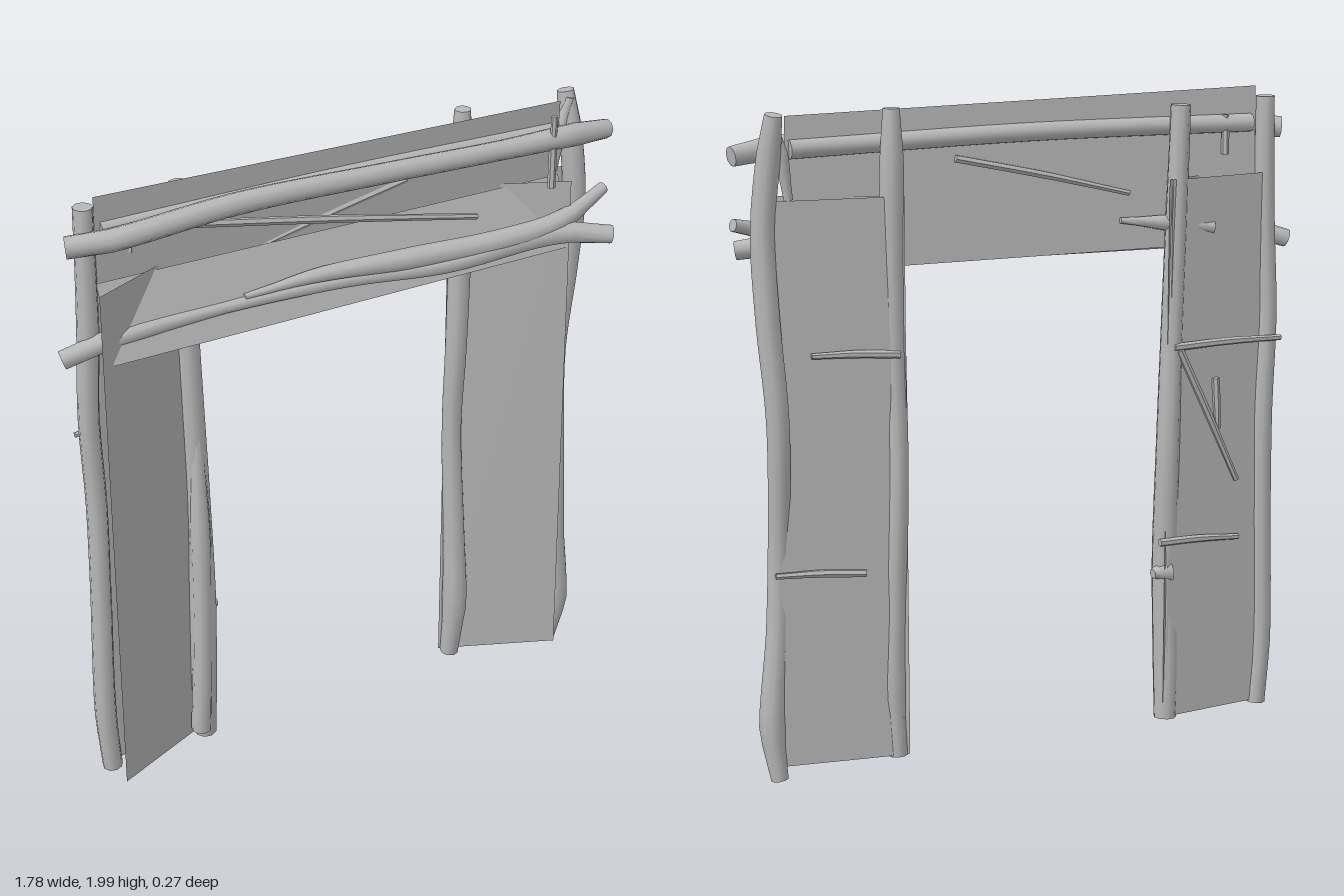
import * as THREE from 'three';
import { mergeVertices, toCreasedNormals } from 'three/addons/utils/BufferGeometryUtils.js';

const grey = new THREE.MeshStandardMaterial({ color: 0xb8b8b8, side: THREE.DoubleSide });
grey.name = 'plain grey';

// Rough log along points [x, y, z, radius], with closed ends
function log(name, pts, sides = 9) {
  const curve = new THREE.CatmullRomCurve3(pts.map(p => new THREE.Vector3(p[0], p[1], p[2])));
  const n = pts.length * 4;
  const tube = new THREE.TubeGeometry(curve, n, 1, sides, false);
  const pos = tube.attributes.position;
  const c = new THREE.Vector3(), v = new THREE.Vector3();
  for (let i = 0; i <= n; i++) {
    const u = i / n;
    const k = curve.getUtoTmapping(u) * (pts.length - 1);
    const a = Math.min(Math.floor(k), pts.length - 2);
    const r = THREE.MathUtils.lerp(pts[a][3], pts[a + 1][3], k - a);
    const centre = curve.getPointAt(u);
    // the second and second-last rings move to the ends and form the caps
    const cu = i === 1 ? 0 : i === n - 1 ? 1 : u;
    const rr = i === 0 || i === n ? 0 : r;
    curve.getPointAt(cu, c);
    for (let j = 0; j <= sides; j++) {
      const q = i * (sides + 1) + j;
      v.fromBufferAttribute(pos, q).sub(centre).multiplyScalar(rr).add(c);
      pos.setXYZ(q, v.x, v.y, v.z);
    }
  }
  tube.deleteAttribute('normal');
  tube.deleteAttribute('uv');
  const mesh = new THREE.Mesh(toCreasedNormals(mergeVertices(tube, 1e-5), 0.9), grey);
  mesh.name = name;
  return mesh;
}

// Thin flat sheet from its corners: bottom left, bottom right, top right, top left
function sheet(name, a, b, c, d) {
  const g = new THREE.BufferGeometry();
  g.setAttribute('position', new THREE.Float32BufferAttribute([...a, ...b, ...c, ...a, ...c, ...d], 3));
  g.computeVertexNormals();
  const mesh = new THREE.Mesh(g, grey);
  mesh.name = name;
  return mesh;
}

export function createModel() {
  const model = new THREE.Group();
  model.name = 'logDoorFrame';

  // Stretched sheets: a slanted front and a flatter back one on each side, and two across the top
  model.add(
    sheet('rightFrontSheet', [-0.79, 0.05, 0.05], [-0.44, 0.05, -0.11], [-0.44, 1.74, -0.11], [-0.79, 1.74, 0.05]),
    sheet('leftFrontSheet', [0.4, 0.05, -0.11], [0.76, 0.05, 0.03], [0.74, 1.74, 0.03], [0.4, 1.74, -0.11]),
    sheet('rightBackSheet', [-0.79, 0.05, -0.07], [-0.45, 0.05, -0.112], [-0.45, 1.74, -0.112], [-0.79, 1.74, -0.07]),
    sheet('leftBackSheet', [0.42, 0.05, -0.112], [0.78, 0.05, -0.07], [0.78, 1.74, -0.07], [0.42, 1.74, -0.112]),
    sheet('topFrontSheet', [-0.75, 1.505, 0.035], [0.74, 1.52, 0.03], [0.74, 1.73, -0.045], [-0.76, 1.73, -0.045]),
    sheet('topBackSheet', [-0.75, 1.53, -0.065], [0.74, 1.53, -0.065], [0.73, 1.975, -0.035], [-0.76, 2.0, -0.035]));

  // Upright posts
  model.add(
    log('leftOuterPost', [[0.795, 0.01, -0.065, 0.018], [0.81, 0.16, -0.05, 0.04], [0.785, 0.45, -0.04, 0.035],
      [0.775, 0.7, -0.04, 0.033], [0.78, 1.1, -0.075, 0.034], [0.8, 1.4, -0.065, 0.036], [0.805, 1.65, -0.05, 0.036],
      [0.785, 1.87, -0.06, 0.036], [0.775, 1.985, -0.08, 0.016]]),
    log('leftInnerPost', [[0.43, 0.045, -0.09, 0.025], [0.44, 0.25, -0.08, 0.042], [0.435, 0.5, -0.085, 0.035],
      [0.425, 0.9, -0.1, 0.031], [0.425, 1.2, -0.085, 0.034], [0.43, 1.55, -0.085, 0.036], [0.43, 1.85, -0.09, 0.036],
      [0.43, 1.99, -0.09, 0.015]]),
    log('rightInnerPost', [[-0.46, 0.04, -0.085, 0.03], [-0.465, 0.2, -0.075, 0.042], [-0.46, 0.55, -0.07, 0.042],
      [-0.455, 0.9, -0.09, 0.038], [-0.465, 1.25, -0.085, 0.035], [-0.475, 1.6, -0.085, 0.034], [-0.485, 1.96, -0.085, 0.03]]),
    log('rightInnerProp', [[-0.49, 0.08, -0.05, 0.032], [-0.475, 0.4, -0.05, 0.03], [-0.465, 0.8, -0.06, 0.032], [-0.46, 1.2, -0.075, 0.015]]),
    log('postKnot', [[-0.46, 0.52, -0.08, 0.055], [-0.41, 0.515, -0.09, 0.01]]),
    log('rightOuterPost', [[-0.79, 0.04, -0.06, 0.03], [-0.805, 0.25, -0.055, 0.034], [-0.795, 0.7, -0.06, 0.032],
      [-0.79, 1, -0.065, 0.032], [-0.8, 1.3, -0.06, 0.032], [-0.79, 1.6, -0.05, 0.033], [-0.785, 1.97, -0.05, 0.028]]),
    log('leftPostSplinter', [[0.73, 1.74, -0.06, 0.012], [0.75, 1.87, -0.06, 0.022], [0.775, 1.97, -0.055, 0.01]]));

  // Cross beams
  model.add(
    log('upperBeam', [[-0.85, 1.87, -0.03, 0.03], [-0.74, 1.88, 0.005, 0.034], [-0.35, 1.908, 0.012, 0.033],
      [0.1, 1.898, 0.012, 0.031], [0.5, 1.885, 0.012, 0.03], [0.78, 1.88, 0.01, 0.036], [0.88, 1.865, -0.01, 0.018]]),
    log('upperBackBeam', [[-0.74, 1.89, -0.045, 0.028], [0, 1.895, -0.045, 0.028], [0.72, 1.88, -0.045, 0.028]]),
    log('lowerBeam', [[-0.88, 1.525, -0.03, 0.025], [-0.78, 1.56, -0.01, 0.03], [-0.4, 1.585, 0.002, 0.018],
      [0, 1.585, 0.018, 0.022], [0.3, 1.578, 0.055, 0.027], [0.68, 1.595, 0.062, 0.035], [0.84, 1.575, 0.11, 0.024]]),
    log('forkedBeam', [[-0.33, 1.605, 0.005, 0.006], [-0.1, 1.62, 0.01, 0.022], [0.2, 1.615, 0.035, 0.034],
      [0.5, 1.61, 0.05, 0.035], [0.7, 1.625, 0.045, 0.032], [0.88, 1.67, -0.01, 0.014]]),
    log('backStub', [[-0.3, 1.62, -0.065, 0.006], [-0.45, 1.605, -0.075, 0.025], [-0.6, 1.585, -0.085, 0.018]]));

  // Thin sticks: [name, start, end, radius]
  const sticks = [
    ['diagonalPole', [-0.48, 1.87, 0], [0.44, 1.675, -0.01], 0.012],
    ['backDiagonalPole', [0.22, 1.83, -0.05], [-0.33, 1.7, -0.06], 0.012],
    ['topPeg', [0.67, 1.735, 0.03], [0.67, 1.965, 0.03], 0.012],
    ['backPeg', [-0.65, 1.8, -0.055], [-0.65, 1.92, -0.055], 0.012],
    ['leftUpperRung', [0.42, 1.28, -0.115], [0.68, 1.29, -0.09], 0.012],
    ['leftLowerRung', [0.53, 0.63, -0.105], [0.8, 0.645, -0.085], 0.012],
    ['rightUpperRung', [-0.46, 1.23, -0.115], [-0.83, 1.23, -0.1], 0.012],
    ['rightLowerRung', [-0.42, 0.62, -0.115], [-0.7, 0.605, -0.095], 0.012],
    ['rightBrace', [-0.48, 1.22, -0.115], [-0.69, 0.79, -0.095], 0.012],
    ['rightTwig', [-0.61, 1.12, -0.1], [-0.62, 0.96, -0.098], 0.012],
  ];
  for (const [name, a, b, r] of sticks) {
    const mid = a.map((s, i) => (s + b[i]) / 2);
    model.add(log(name, [[...a, r], [mid[0], mid[1] + 0.004, mid[2], r], [...b, r * 0.7]], 6));
  }
  return model;
}
